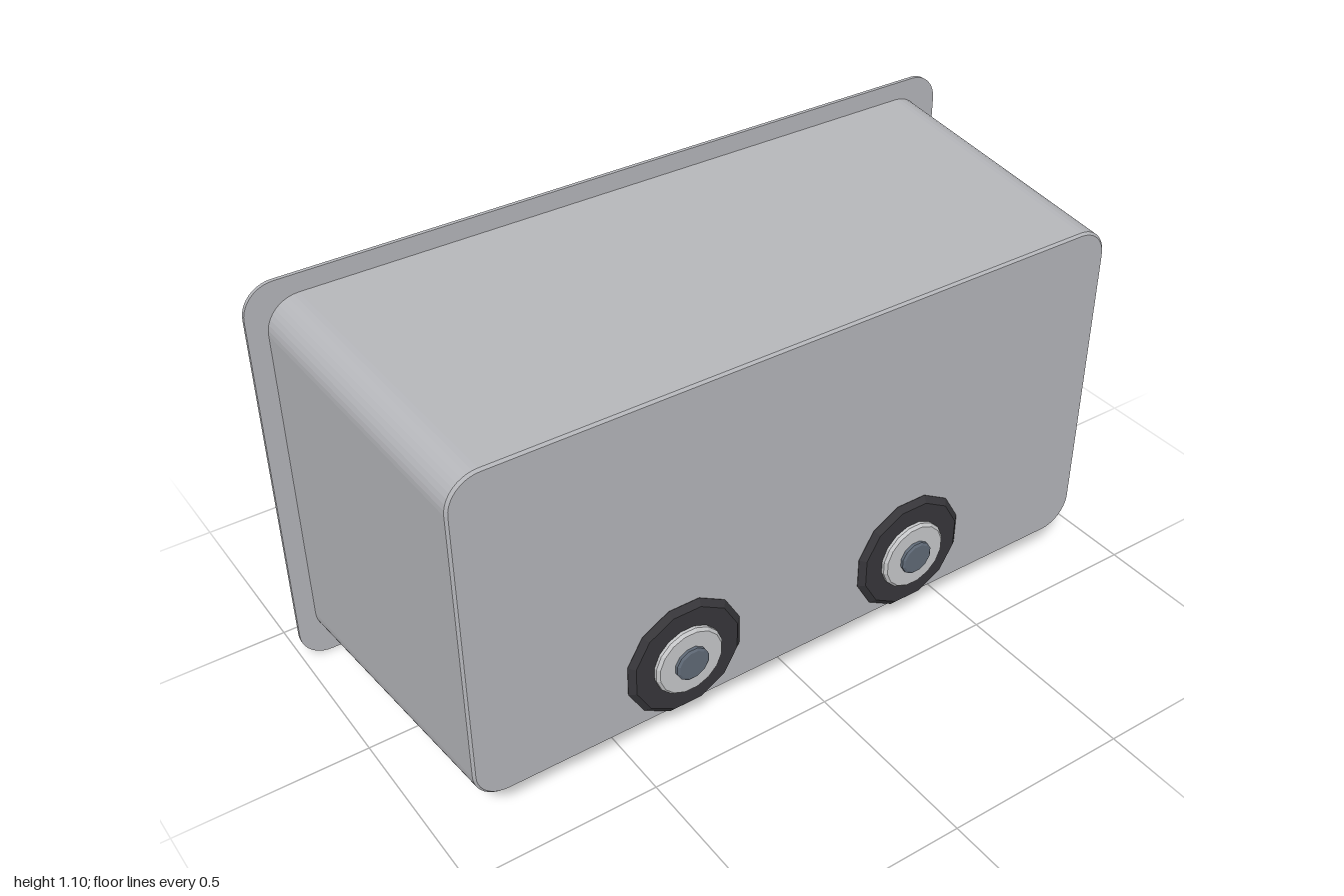
import * as THREE from 'three';

export function createModel() {
  const root = new THREE.Group();
  const mat = (name, color, side = THREE.FrontSide) =>
    Object.assign(new THREE.MeshStandardMaterial({ color, side }), { name });
  const shell = mat('tray grey', 0xb4b5b9, THREE.DoubleSide);
  const paint = mat('body light grey', 0xc6c7c9);
  const rubber = mat('rubber black', 0x37363a);
  const steel = mat('cap blue grey', 0x5f6976);
  const green = mat('trim green', 0x62a63c);

  // faceted normals
  const flat = (g) => {
    const f = g.index ? g.toNonIndexed() : g;
    f.computeVertexNormals();
    return f;
  };
  const add = (name, geo, material, x = 0, y = 0, z = 0, parent = root) => {
    const m = new THREE.Mesh(flat(geo), material);
    m.name = name;
    m.position.set(x, y, z);
    parent.add(m);
    return m;
  };

  // rounded rectangle centred on the origin
  const roundRect = (w, h, r, C = THREE.Shape) => {
    const s = new C();
    s.absarc(w - r, h - r, r, 0, Math.PI / 2);
    s.absarc(r - w, h - r, r, Math.PI / 2, Math.PI);
    s.absarc(r - w, r - h, r, Math.PI, Math.PI * 1.5);
    s.absarc(w - r, r - h, r, Math.PI * 1.5, Math.PI * 2);
    return s;
  };

  // joins equal-length rings of [x, y, z] points, optionally capping both ends
  const loft = (rings, caps = false) => {
    const n = rings[0].length, idx = [];
    for (let i = 0; i < rings.length - 1; i++)
      for (let j = 0; j < n; j++) {
        const a = i * n + j, b = i * n + (j + 1) % n;
        idx.push(a, b, b + n, a, b + n, a + n);
      }
    const last = (rings.length - 1) * n;
    if (caps) for (let j = 1; j < n - 1; j++)
      idx.push(0, j + 1, j, last, last + j, last + j + 1);
    const g = new THREE.BufferGeometry();
    g.setAttribute('position', new THREE.Float32BufferAttribute(rings.flat(2), 3));
    g.setIndex(idx);
    return g;
  };

  // tray: tapering walls, closed front, open back
  const midY = 0.55;
  const ring = (w, h, r, z) => {
    const pts = roundRect(w, h, r).getPoints(5);
    pts.pop();
    return pts.map((p) => [p.x, p.y, z]);
  };
  add('trayWalls', loft([
    ring(0.95, 0.502, 0.085, -0.38),
    ring(0.91, 0.459, 0.085, 0.38),
    ring(0.904, 0.453, 0.08, 0.386),
  ]), shell, 0, midY);
  add('trayFrontPanel', new THREE.ShapeGeometry(roundRect(0.904, 0.453, 0.08), 5), shell, 0, midY, 0.386);

  // flange around the open back
  const rim = roundRect(1, 0.55, 0.08);
  rim.holes.push(roundRect(0.945, 0.497, 0.08, THREE.Path));
  add('trayFlange', new THREE.ExtrudeGeometry(rim, { depth: 0.01, bevelEnabled: false, curveSegments: 5 }),
    shell, 0, midY, -0.385);

  // car body: cross-sections along x, shoulders chamfered
  const section = ([x, w, belt, top, inset]) => [
    [x, 0.27, -w], [x, belt, -w], [x, top, inset - w],
    [x, top, w - inset], [x, belt, w], [x, 0.27, w],
  ];
  add('carBody', loft([
    [-0.54, 0.24, 0.4, 0.435, 0.02],
    [-0.36, 0.27, 0.425, 0.475, 0.03],
    [-0.12, 0.27, 0.425, 0.475, 0.03],
    [0.25, 0.27, 0.425, 0.455, 0.03],
    [0.54, 0.26, 0.42, 0.445, 0.03],
  ].map(section), true), paint);

  // cabin: tapering towards the roof
  const level = (x0, x1, w, y) => [[x0, y, -w], [x0, y, w], [x1, y, w], [x1, y, -w]];
  add('cabin', loft([level(-0.12, 0.26, 0.22, 0.44), level(0.0, 0.16, 0.13, 0.69)], true), paint);

  // chassis and bumpers
  add('chassis', new THREE.BoxGeometry(1.0, 0.08, 0.44), rubber, 0, 0.235);
  for (const [end, x, len] of [['front', -0.57, 0.6], ['rear', 0.53, 0.54]]) {
    const bar = add(end + 'BumperBar', new THREE.CapsuleGeometry(0.03, len - 0.06, 2, 8), rubber, x, 0.27);
    bar.rotation.x = Math.PI / 2;
    add(end + 'BumperPlate', new THREE.BoxGeometry(0.09, 0.035, len), green, x, 0.2);
  }

  // box with clipped edges, for the side pods
  const pod = () => {
    const b = 0.01;
    const g = new THREE.ExtrudeGeometry(roundRect(0.08, 0.045, 0.015), {
      depth: 0.04, bevelThickness: b, bevelSize: b, bevelSegments: 1, curveSegments: 2,
    });
    return g.translate(0, 0, -0.02);
  };

  // tyre, rim and cap share a lathe helper with the axis along z
  const disc = (profile, sides) => new THREE.LatheGeometry(
    profile.map(([r, z]) => new THREE.Vector2(r, z)), sides, Math.PI / sides).rotateX(Math.PI / 2);

  // parts mirrored on both sides
  for (const s of [-1, 1]) {
    const side = s < 0 ? 'back' : 'front';
    add(side + 'SidePod', pod(), green, 0.21, 0.505, s * 0.3);
    add(side + 'Skirt', new THREE.BoxGeometry(0.5, 0.045, 0.08), green, 0, 0.26, s * 0.29);
    add(side + 'RoofLamp', new THREE.CylinderGeometry(0.085, 0.085, 0.1, 12), green, -0.07, 0.675, s * 0.17);

    for (const x of [-0.34, 0.34]) {
      const wheel = new THREE.Group();
      wheel.name = side + (x < 0 ? 'LeadingWheel' : 'TrailingWheel');
      wheel.position.set(x, 0.25, s * 0.355);
      if (s < 0) wheel.rotation.y = Math.PI;
      root.add(wheel);
      add('tyre', disc([[0, -0.045], [0.145, -0.045], [0.164, -0.03], [0.164, 0.032], [0.148, 0.045], [0, 0.045]], 12),
        rubber, 0, 0, 0, wheel);
      add('rim', disc([[0.095, 0.04], [0.095, 0.053], [0.088, 0.06], [0, 0.06]], 16), paint, 0, 0, 0, wheel);
      add('cap', disc([[0.046, 0.05], [0.046, 0.068], [0.04, 0.072], [0, 0.072]], 12), steel, 0, 0, 0, wheel);
    }
  }

  // axles
  for (const x of [-0.34, 0.34]) {
    const axle = add('axle', new THREE.CylinderGeometry(0.03, 0.03, 0.64, 8), rubber, x, 0.25);
    axle.rotation.x = Math.PI / 2;
  }
  return root;
}
